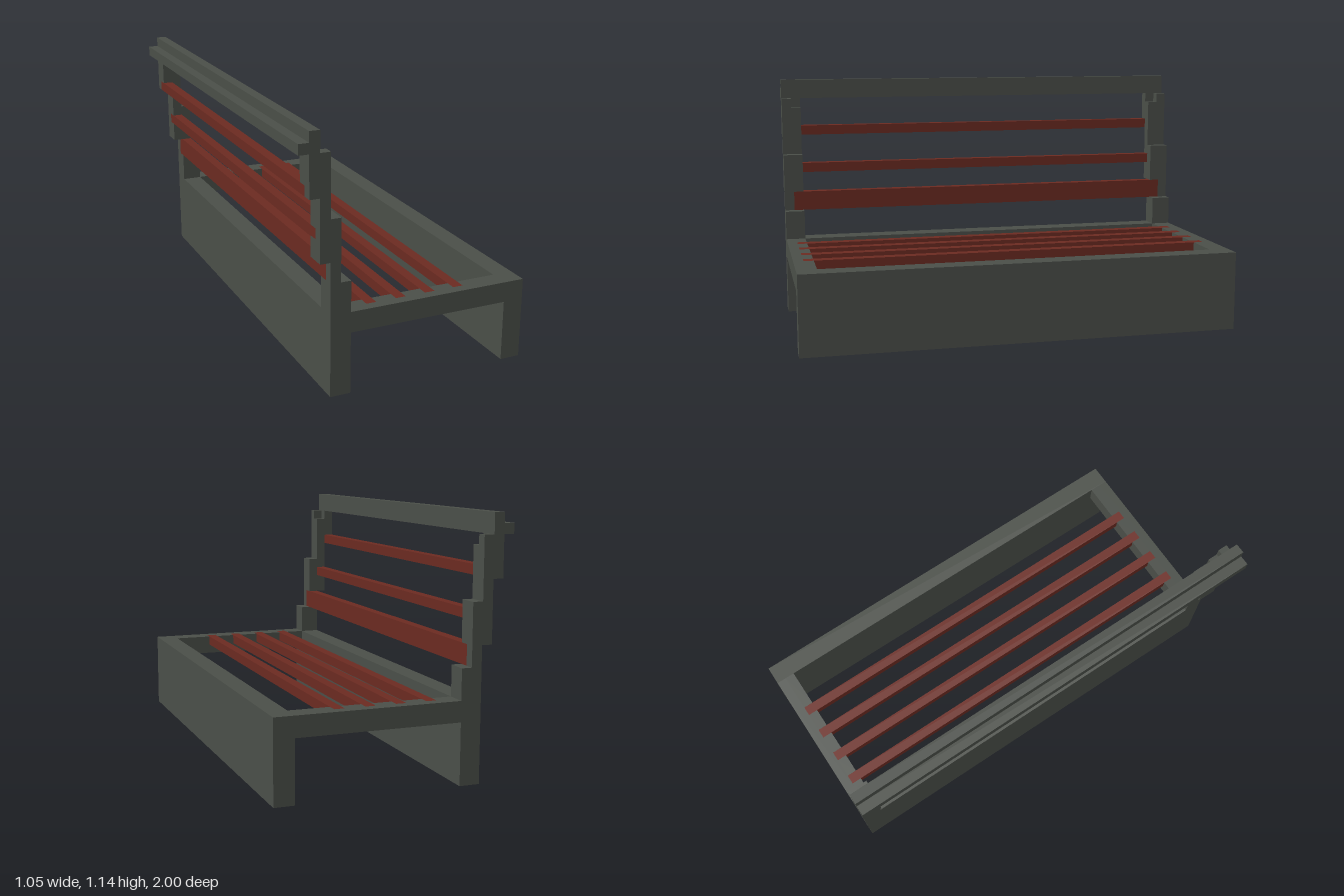
import * as THREE from 'three';

export function createModel() {
  const u = 1 / 22; // grid step: the bench is 23 x 25 x 44 steps
  const frameMat = new THREE.MeshStandardMaterial({ color: 0x4a4e48 });
  frameMat.name = 'dark grey frame';
  const slatMat = new THREE.MeshStandardMaterial({ color: 0x6b2a21 });
  slatMat.name = 'red brown slat';

  const bench = new THREE.Group();
  bench.name = 'bench';

  // Box between grid corners; x counts from the rear edge, z from the middle
  function block(name, mat, x0, x1, y0, y1, z0, z1) {
    const mesh = new THREE.Mesh(
      new THREE.BoxGeometry((x1 - x0) * u, (y1 - y0) * u, (z1 - z0) * u), mat);
    mesh.position.set(((x0 + x1) / 2 - 11.5) * u, ((y0 + y1) / 2) * u, ((z0 + z1) / 2) * u);
    mesh.name = name;
    bench.add(mesh);
  }
  // The same block at both ends of the bench
  function pair(name, x0, x1, y0, y1, z0, z1) {
    block(name, frameMat, x0, x1, y0, y1, z0, z1);
    block(name, frameMat, x0, x1, y0, y1, -z1, -z0);
  }

  // Full-length leg panels
  block('frontPanel', frameMat, 21, 23, 0, 8, -22, 22);
  block('backPanel', frameMat, 3, 5, 0, 8, -22, 22);

  // Seat end rails, notched to receive the slats
  const seatSlats = [7, 10, 13, 16];
  pair('seatRailBase', 5, 21, 6, 7, 20, 22);
  pair('seatRailEdge', 5, 21, 7, 8, 21, 22);
  let start = 5;
  for (const x of [...seatSlats, 21]) {
    pair('seatRailNotch', start, x, 7, 8, 20, 21);
    start = x + 1;
  }
  for (const x of seatSlats) block('seatSlat', slatMat, x, x + 1, 7, 8, -21, 21);

  // Stepped back posts: outer layer whole, inner layer notched for the slats
  pair('postFoot', 3, 5, 8, 11, 20, 22);
  pair('postLowerOuter', 3, 4, 11, 17, 21, 22);
  pair('postLowerInner', 3, 4, 13, 17, 20, 21);
  pair('postMiddleOuter', 2, 3, 13, 23, 21, 22);
  pair('postMiddleInner', 2, 3, 13, 15, 20, 21);
  pair('postMiddleInner', 2, 3, 16, 22, 20, 21);
  pair('postUpperOuter', 1, 2, 19, 23, 21, 22);
  pair('postUpperInner', 1, 2, 20, 23, 20, 21);

  // Backrest slats
  block('wideBackSlat', slatMat, 3, 4, 11, 13, -21, 21);
  block('middleBackSlat', slatMat, 2, 3, 15, 16, -21, 21);
  block('upperBackSlat', slatMat, 1, 2, 19, 20, -21, 21);

  // Top rail with its rear lip
  block('topRail', frameMat, 1, 2, 23, 25, -22, 22);
  block('topRailLip', frameMat, 0, 1, 23, 24, -22, 22);

  return bench;
}
